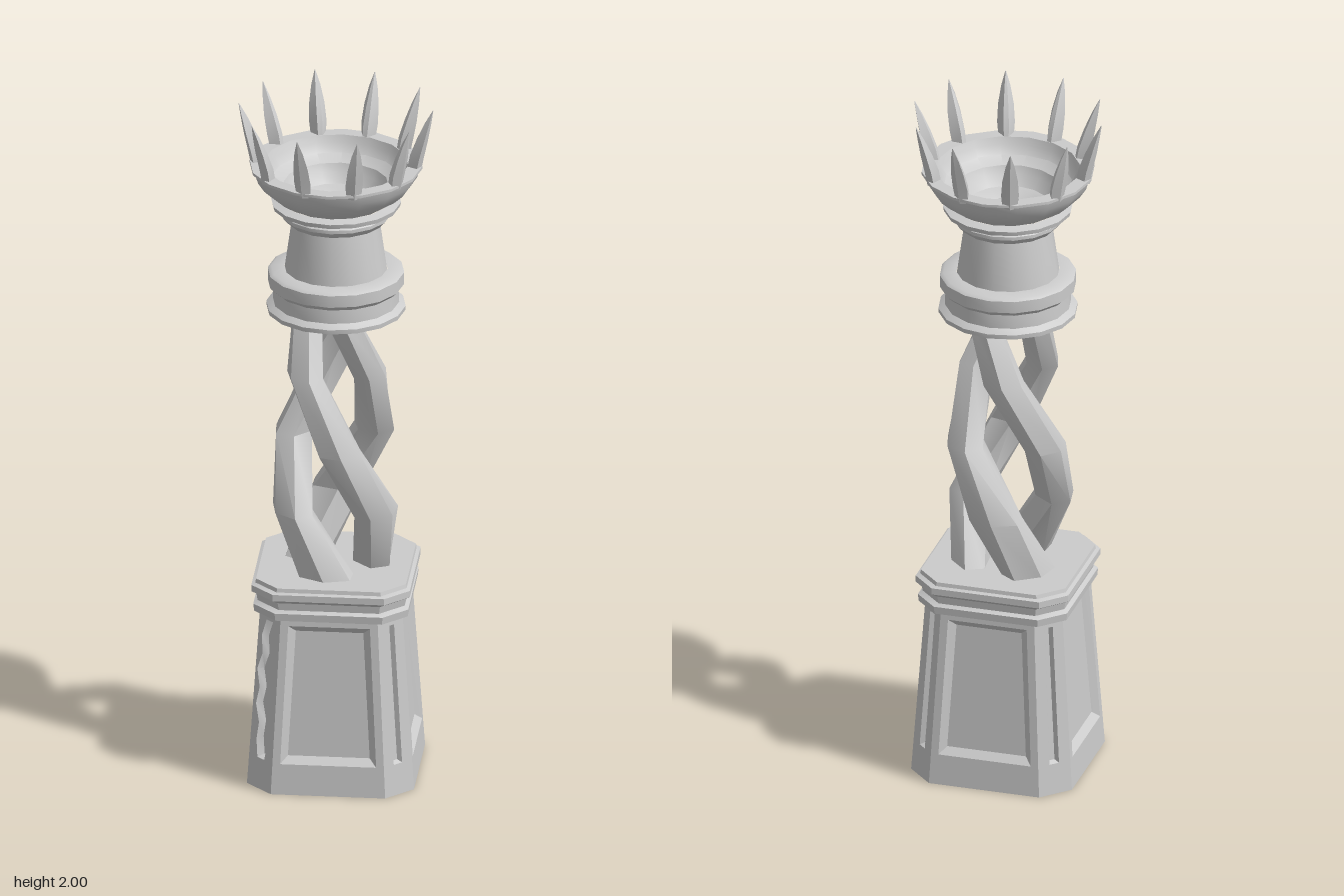
import * as THREE from 'three';
import { toCreasedNormals } from 'three/addons/utils/BufferGeometryUtils.js';

const material = new THREE.MeshStandardMaterial({ color: 0xcccccc });
const CREASE = 0.6;

function part(name, geometry) {
  const mesh = new THREE.Mesh(toCreasedNormals(geometry, CREASE), material);
  mesh.name = name;
  return mesh;
}

// Skin a list of equal-length rings of Vector3, counterclockwise seen from the last ring.
function loft(rings, capStart = true, capEnd = true) {
  const n = rings[0].length;
  const pos = rings.flat().flatMap((p) => [p.x, p.y, p.z]);
  const index = [];
  for (let i = 0; i < rings.length - 1; i++) {
    for (let j = 0; j < n; j++) {
      const k = (j + 1) % n;
      const a = i * n + j, b = i * n + k, c = a + n, d = b + n;
      index.push(a, b, d, a, d, c);
    }
  }
  const cap = (ring, base, flip) => {
    const c = ring.reduce((s, p) => s.add(p), new THREE.Vector3()).divideScalar(n);
    const ci = pos.length / 3;
    pos.push(c.x, c.y, c.z);
    for (let j = 0; j < n; j++) {
      const a = base + j, b = base + ((j + 1) % n);
      index.push(ci, flip ? b : a, flip ? a : b);
    }
  };
  if (capStart) cap(rings[0], 0, true);
  if (capEnd) cap(rings[rings.length - 1], (rings.length - 1) * n, false);
  const g = new THREE.BufferGeometry();
  g.setAttribute('position', new THREE.Float32BufferAttribute(pos, 3));
  g.setIndex(index);
  return g;
}

// Point at angle (from +z towards +x), distance out, sideways offset and height
function polar(angle, out, side, y) {
  const s = Math.sin(angle), c = Math.cos(angle);
  return new THREE.Vector3(s * out + c * side, y, c * out - s * side);
}

// Square with cut corners
function octagon(y, a, cut) {
  const h = a - cut;
  return [[-h, a], [h, a], [a, h], [a, -h], [h, -a], [-h, -a], [-a, -h], [-a, h]]
    .map(([x, z]) => new THREE.Vector3(x, y, z));
}

// Tapering pedestal body
const BODY_TOP = 0.53;
const apothem = (y) => THREE.MathUtils.lerp(0.235, 0.2, y / BODY_TOP);
const cutAt = (y) => THREE.MathUtils.lerp(0.074, 0.064, y / BODY_TOP);

// One side with a sunken panel; widths lists the panel half-width from bottom to top
function sidePanel(angle, isCorner, widths, bevel, depth) {
  const y0 = 0.09, y1 = 0.5;
  const dist = (y) => isCorner ? (2 * apothem(y) - cutAt(y)) / Math.SQRT2 : apothem(y);
  const half = (y) => isCorner ? cutAt(y) / Math.SQRT2 : apothem(y) - cutAt(y);
  const last = widths.length - 1;
  const ring = (bottom, top, width, d) => {
    const rows = widths.map((w, i) => {
      const y = THREE.MathUtils.lerp(bottom, top, i / last);
      return { y, w: width(y, w) };
    });
    const right = rows.map((r) => polar(angle, dist(r.y) - d, r.w, r.y));
    const left = rows.map((r) => polar(angle, dist(r.y) - d, -r.w, r.y)).reverse();
    return [...right, ...left];
  };
  return loft([
    ring(0, BODY_TOP, half, 0),
    ring(y0, y1, (y, w) => w, 0),
    ring(y0 + bevel, y1 - bevel, (y, w) => w - bevel, depth),
  ], false, true);
}

function createPedestal() {
  const group = new THREE.Group();
  group.name = 'pedestal';
  const plain = [0.015, 0.013];
  const worn = [0.015, 0.024, 0.018, 0.036, 0.025, 0.04, 0.022, 0.03, 0.014];
  for (let i = 0; i < 4; i++) {
    const angle = i * Math.PI / 2;
    group.add(part('sidePanel', sidePanel(angle, false, [0.135, 0.115], 0.02, 0.018)));
    // the front right-hand corner is chipped
    const chipped = i === 3;
    group.add(part(chipped ? 'chippedCornerSlot' : 'cornerSlot',
      sidePanel(angle + Math.PI / 4, true, chipped ? worn : plain, 0.007, chipped ? 0.02 : 0.013)));
  }
  group.add(part('pedestalUnderside',
    loft([octagon(0, 0.235, 0.074), octagon(0.002, 0.2349, 0.074)], true, false)));
  const cornice = [[0.52, 0.2], [0.521, 0.216], [0.543, 0.218], [0.55, 0.207], [0.572, 0.21],
    [0.583, 0.223], [0.602, 0.223], [0.606, 0.213], [0.617, 0.211]];
  group.add(part('pedestalCornice', loft(cornice.map(([y, a]) => octagon(y, a, 0.066)))));
  return group;
}

// Three strands twisting around an open core: height, angle, distance, radial and sideways half-size
function createStrands() {
  const group = new THREE.Group();
  group.name = 'twistedShaft';
  const rows = [
    [0.6, 115, 0.105, 0.055, 0.085],
    [0.8, 62, 0.135, 0.055, 0.08],
    [1.0, 10, 0.13, 0.055, 0.068],
    [1.21, -50, 0.105, 0.048, 0.062],
    [1.4, -107, 0.085, 0.042, 0.052],
  ];
  for (let k = 0; k < 3; k++) {
    const rings = rows.map(([y, deg, r, radial, side]) => {
      const angle = THREE.MathUtils.degToRad(deg + k * 120);
      return Array.from({ length: 6 }, (_, j) => {
        const t = j * Math.PI / 3;
        return polar(angle, r + Math.cos(t) * radial, Math.sin(t) * side, y);
      });
    });
    group.add(part('strand', loft(rings)));
  }
  return group;
}

function lathe(name, profile) {
  return part(name, new THREE.LatheGeometry(profile.map(([r, y]) => new THREE.Vector2(r, y)), 16));
}

// Claw-like prongs leaning outwards around the rim
function createProngs() {
  const group = new THREE.Group();
  group.name = 'prongs';
  const rows = [[1.815, 0.219, 0.02, 0.021], [1.86, 0.228, 0.02, 0.025], [1.91, 0.243, 0.016, 0.022],
    [1.96, 0.259, 0.009, 0.013], [2.0, 0.273, 0.001, 0.001]];
  for (let k = 0; k < 10; k++) {
    const angle = Math.PI / 2 + k * Math.PI / 5;
    const rings = rows.map(([y, r, thick, wide]) => [
      polar(angle, r + thick, 0, y),
      polar(angle, r + thick * 0.4, wide, y),
      polar(angle, r - thick, wide * 0.3, y),
      polar(angle, r - thick, -wide * 0.3, y),
      polar(angle, r + thick * 0.4, -wide, y),
    ]);
    group.add(part('prong', loft(rings)));
  }
  return group;
}

export function createModel() {
  const model = new THREE.Group();
  model.name = 'brazierColumn';
  model.add(createPedestal(), createStrands());

  model.add(lathe('collar', [[0, 1.39], [0.195, 1.39], [0.196, 1.403], [0.178, 1.415], [0.176, 1.455],
    [0.192, 1.47], [0.192, 1.505], [0.182, 1.512], [0.145, 1.514]]));
  model.add(lathe('drum', [[0.145, 1.505], [0.124, 1.655]]));
  model.add(lathe('neckMoulding', [[0.12, 1.655], [0.138, 1.66], [0.154, 1.678], [0.154, 1.688],
    [0.148, 1.693], [0.18, 1.705], [0.183, 1.718], [0.155, 1.724]]));
  // outer bowl, rim and stepped inside
  model.add(lathe('bowl', [[0.15, 1.722], [0.185, 1.745], [0.21, 1.768], [0.228, 1.795], [0.236, 1.82],
    [0.243, 1.822], [0.243, 1.83], [0.203, 1.83], [0.194, 1.81], [0.18, 1.785], [0.147, 1.768],
    [0.136, 1.745], [0.115, 1.718], [0.088, 1.71], [0.072, 1.702], [0.068, 1.675], [0, 1.67]]));
  model.add(createProngs());
  return model;
}
